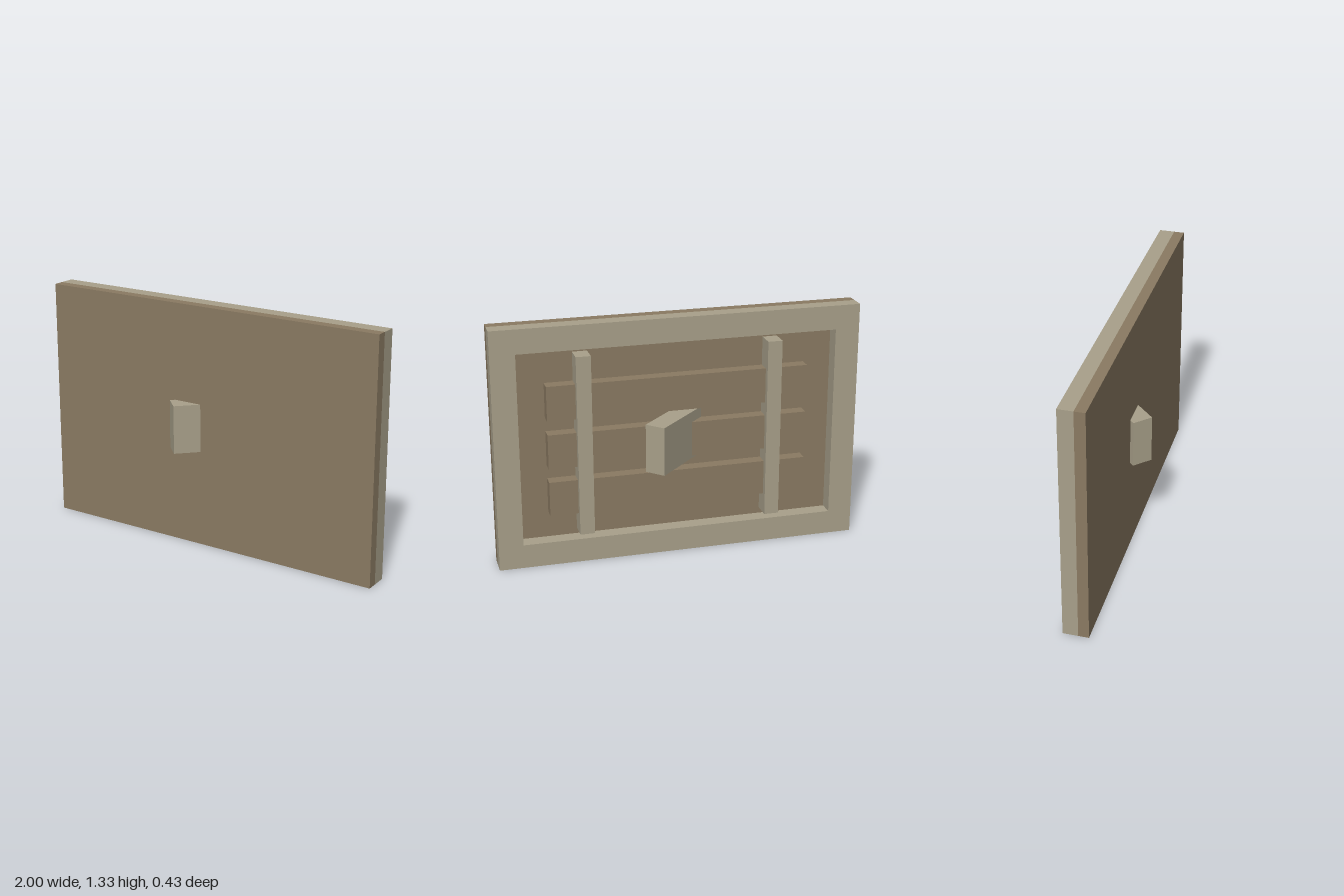
import * as THREE from 'three';

export function createModel() {
  const brown = new THREE.MeshStandardMaterial({ color: 0x8a7a62 });
  brown.name = 'brown wood';
  const stone = new THREE.MeshStandardMaterial({ color: 0xa8a08a });
  stone.name = 'pale grey wood';

  const model = new THREE.Group();
  model.name = 'panel';

  const add = (name, geometry, material, x, y, z) => {
    const mesh = new THREE.Mesh(geometry, material);
    mesh.name = name;
    mesh.position.set(x, y, z);
    model.add(mesh);
    return mesh;
  };
  // Box given by its extents on each axis
  const block = (name, material, [x0, x1], [y0, y1], [z0, z1]) =>
    add(name, new THREE.BoxGeometry(x1 - x0, y1 - y0, z1 - z0), material,
      (x0 + x1) / 2, (y0 + y1) / 2, (z0 + z1) / 2);

  const height = 1.333, border = 0.133;
  const front = 0.115, seam = 0.058, back = -0.024;

  // Front board
  block('frontBoard', brown, [-1, 1], [0, height], [seam, front]);

  // Raised frame around the back
  const outline = new THREE.Shape();
  outline.moveTo(-1, 0).lineTo(1, 0).lineTo(1, height).lineTo(-1, height).closePath();
  const opening = new THREE.Path();
  const ix = 1 - border, top = height - border;
  opening.moveTo(-ix, border).lineTo(-ix, top).lineTo(ix, top).lineTo(ix, border).closePath();
  outline.holes.push(opening);
  add('backFrame', new THREE.ExtrudeGeometry(outline, { depth: seam - back, bevelEnabled: false }),
    stone, 0, 0, back);

  // Three horizontal slats inside the recess
  for (let i = 0; i < 3; i++) {
    const y = 0.28 + i * 0.268;
    block('slat', brown, [-0.714, 0.714], [y, y + 0.193], [-0.01, seam]);
  }

  // Two upright rails over the slats
  for (const s of [-1, 1]) {
    block('rail', stone, [s * 0.52 - 0.04, s * 0.52 + 0.04], [0.167, 1.167], [-0.042, seam]);
  }

  // Turning latch through the middle, set at 45 degrees
  const latch = add('latch', new THREE.BoxGeometry(0.5, 0.266, 0.113), stone, 0, 0.667, 0);
  latch.rotation.y = Math.PI / 4;

  return model;
}
